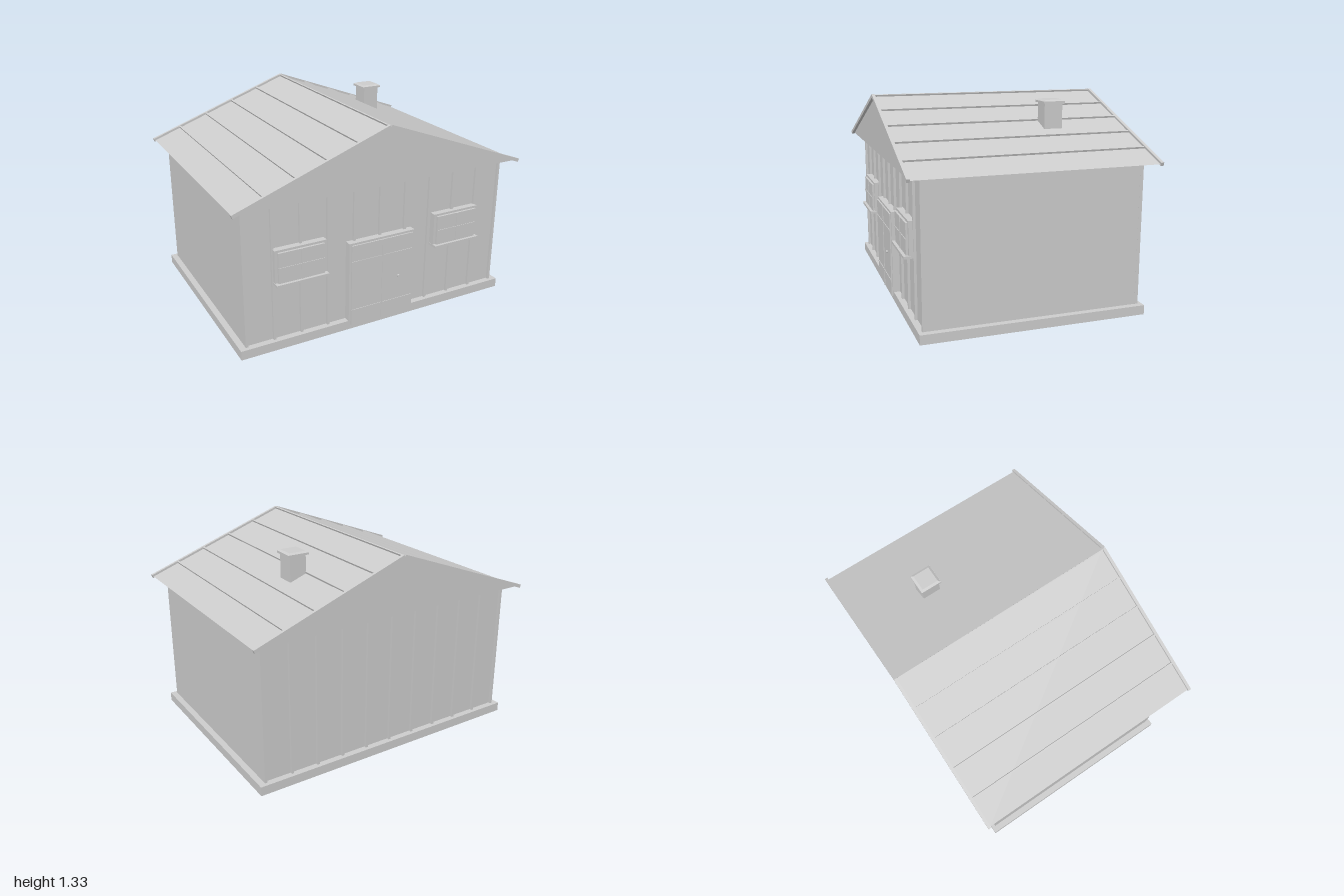
import * as THREE from 'three';

export function createModel() {
  const model = new THREE.Group();
  model.name = 'cabin';
  const grey = new THREE.MeshStandardMaterial({ color: 0xcccccc });
  grey.name = 'plain grey';

  const add = (name, geometry, parent = model) => {
    const mesh = new THREE.Mesh(geometry, grey);
    mesh.name = name;
    parent.add(mesh);
    return mesh;
  };
  // Box given by its minimum and maximum along each axis
  const box = (name, x0, x1, y0, y1, z0, z1, parent = model) => {
    const mesh = add(name, new THREE.BoxGeometry(x1 - x0, y1 - y0, z1 - z0), parent);
    mesh.position.set((x0 + x1) / 2, (y0 + y1) / 2, (z0 + z1) / 2);
    return mesh;
  };
  const group = (name) => {
    const g = new THREE.Group();
    g.name = name;
    model.add(g);
    return g;
  };

  // Foundation and walls
  box('foundation', -0.96, 0.96, 0, 0.06, -0.717, 0.717);
  box('walls', -0.92, 0.92, 0.06, 0.956, -0.676, 0.676);

  // Vertical battens on the front and back walls
  const battens = group('battens');
  for (let i = -5; i <= 5; i++) {
    const x = i * 0.1825;
    box('backBatten', x - 0.008, x + 0.008, 0.06, 0.956, -0.692, -0.67, battens);
    box('frontBatten', x - 0.008, x + 0.008, Math.abs(i) < 2 ? 0.59 : 0.06, 0.956, 0.67, 0.692, battens);
  }

  // Solid gabled roof
  const ridgeY = 1.32, eaveX = 0.99, eaveY = 0.956, roofZ = 0.762;
  const gable = new THREE.Shape([
    new THREE.Vector2(-eaveX, eaveY),
    new THREE.Vector2(eaveX, eaveY),
    new THREE.Vector2(0, ridgeY),
  ]);
  const roof = add('roof', new THREE.ExtrudeGeometry(gable, { depth: roofZ * 2, bevelEnabled: false }));
  roof.position.z = -roofZ;

  // Ribs and barge boards laid on each slope
  const angle = Math.atan2(ridgeY - eaveY, eaveX);
  for (const s of [-1, 1]) {
    const slope = group(s > 0 ? 'leftSlopeTrim' : 'rightSlopeTrim');
    slope.position.y = ridgeY;
    slope.rotation.z = -s * angle;
    for (let i = 0; i < 5; i++) {
      const d = s * (i ? (i * 0.2) / Math.cos(angle) : 0.004);
      const half = i ? 0.006 : 0.004;
      box('roofRib', d - half, d + half, -0.004, 0.012, -roofZ, roofZ, slope);
    }
    for (const z of [-0.771, 0.771]) {
      const board = box('bargeBoard', 0, 1.061, -0.008, 0.014, z - 0.01, z + 0.01, slope);
      board.position.x *= s;
    }
  }

  // Chimney with a low sloping cap
  box('chimney', 0.405, 0.515, 1.1, 1.293, -0.332, -0.212);
  box('chimneyCap', 0.39, 0.53, 1.291, 1.304, -0.343, -0.201);
  const capTop = add('chimneyCapTop',
    new THREE.CylinderGeometry(0.055 * Math.SQRT2, 0.07 * Math.SQRT2, 0.009, 4).rotateY(Math.PI / 4).toNonIndexed());
  capTop.geometry.computeVertexNormals();
  capTop.position.set(0.46, 1.3085, -0.272);

  // Double door: frame, panel, bars and knob
  const door = group('door');
  for (const s of [-1, 1]) {
    const x = s * 0.2285;
    box('doorPost', x - 0.0075, x + 0.0075, 0.06, 0.6, 0.67, 0.722, door);
  }
  box('doorLintel', -0.236, 0.236, 0.585, 0.6, 0.67, 0.722, door);
  box('doorPanel', -0.222, 0.222, 0.03, 0.586, 0.67, 0.731, door);
  box('doorCentreBar', -0.004, 0.004, 0.03, 0.586, 0.73, 0.735, door);
  for (const y of [0.14, 0.476]) box('doorCrossBar', -0.222, 0.222, y - 0.004, y + 0.004, 0.73, 0.735, door);
  const knob = add('doorKnob', new THREE.CylinderGeometry(0.009, 0.009, 0.012, 16).rotateX(Math.PI / 2), door);
  knob.position.set(0.122, 0.305, 0.735);

  // Windows: frame, raised pane, glazing bars and sill
  for (const s of [-1, 1]) {
    const win = group(s > 0 ? 'leftWindow' : 'rightWindow');
    win.position.x = s * 0.56;
    box('windowFrame', -0.17, 0.17, 0.45, 0.666, 0.67, 0.718, win);
    box('windowPane', -0.152, 0.152, 0.45, 0.652, 0.7, 0.732, win);
    box('windowUpright', -0.004, 0.004, 0.456, 0.652, 0.73, 0.736, win);
    box('windowCrossBar', -0.152, 0.152, 0.55, 0.558, 0.73, 0.736, win);
    box('windowSill', -0.172, 0.172, 0.44, 0.456, 0.67, 0.751, win);
  }
  return model;
}
